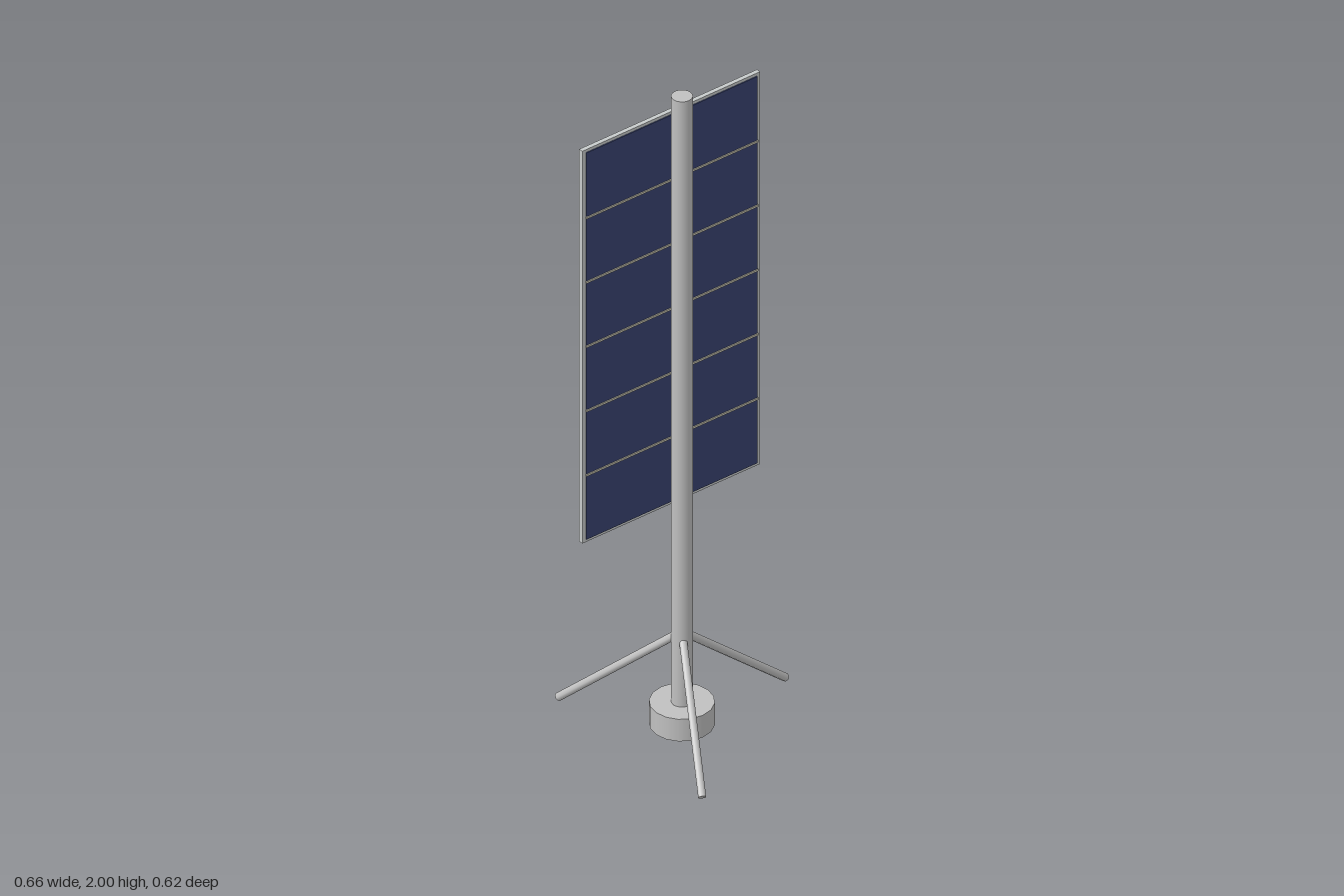
import * as THREE from 'three';

const POLE_X = -0.03;

function material(name, color) {
  const m = new THREE.MeshStandardMaterial({ color });
  m.name = name;
  return m;
}

export function createModel() {
  const model = new THREE.Group();
  model.name = 'solarMast';

  const metal = material('silverMetal', 0xc0c0c0);
  const frameMetal = material('paleFrame', 0xc8cccc);
  const cell = material('navyCell', 0x3a4472);
  const busbar = material('paleLine', 0xccc9b8);

  const add = (parent, name, geometry, mat, x, y, z) => {
    const mesh = new THREE.Mesh(geometry, mat);
    mesh.name = name;
    mesh.position.set(x, y, z);
    parent.add(mesh);
    return mesh;
  };

  // Upright pole and its round foot
  add(model, 'pole', new THREE.CylinderGeometry(0.029, 0.029, 1.96, 16), metal, POLE_X, 1.02, 0);
  add(model, 'base', new THREE.CylinderGeometry(0.087, 0.087, 0.07, 16), metal, POLE_X, 0.046, 0);

  // Three splayed legs, starting inside the pole
  const start = new THREE.Vector3(0, 0.302, 0);
  for (let i = 0; i < 3; i++) {
    const a = (i * Math.PI * 2) / 3;
    const end = new THREE.Vector3(0.35 * Math.cos(a), 0.0085, 0.35 * Math.sin(a));
    const axis = end.clone().sub(start);
    const mid = start.clone().add(end).multiplyScalar(0.5);
    const leg = add(model, 'leg' + (i + 1), new THREE.CylinderGeometry(0.0115, 0.0115, axis.length(), 8),
      metal, mid.x + POLE_X, mid.y, mid.z);
    leg.quaternion.setFromUnitVectors(new THREE.Vector3(0, 1, 0), axis.normalize());
  }

  // Panel: a frame slab, with the cell slab standing slightly proud on both sides
  const panel = new THREE.Group();
  panel.name = 'solarPanel';
  panel.position.set(POLE_X, 1.305, -0.0515);
  model.add(panel);
  add(panel, 'frame', new THREE.BoxGeometry(0.6, 1.244, 0.013), frameMetal, 0, 0, 0);
  add(panel, 'cells', new THREE.BoxGeometry(0.576, 1.226, 0.019), cell, 0, 0, 0);

  // Thin lines dividing the front into six cells
  for (let i = -2; i <= 2; i++) {
    add(panel, 'divider' + (i + 3), new THREE.BoxGeometry(0.58, 0.006, 0.004), busbar, 0, i * 0.204, 0.0105);
  }
  return model;
}
